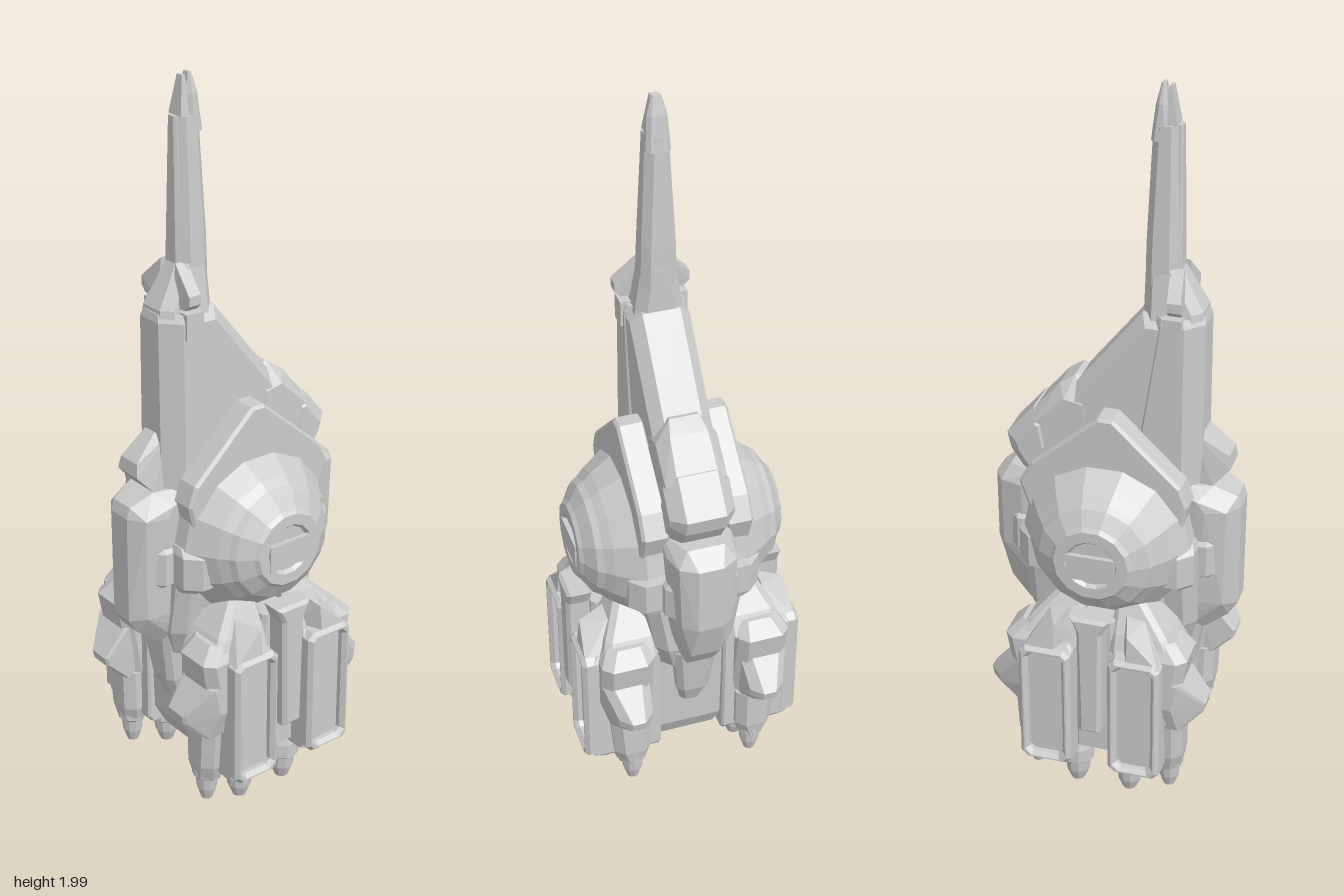
import * as THREE from 'three';
import { ConvexGeometry } from 'three/addons/geometries/ConvexGeometry.js';

const mat = new THREE.MeshStandardMaterial({ color: 0xcccccc, flatShading: true, side: THREE.DoubleSide });

function add(group, name, geometry, x = 0, y = 0, z = 0) {
  const m = new THREE.Mesh(geometry, mat);
  m.name = name;
  m.position.set(x, y, z);
  group.add(m);
  return m;
}

// Convex solid through given points
const hull = (pts) => new ConvexGeometry(pts.map((p) => new THREE.Vector3(...p)));

// Interval a..b, flipped to the negative side when s < 0
const span = (s, a, b) => (s > 0 ? [a, b] : [-b, -a]);

// Convex solid stacked from rectangles [y, x0, x1, z0, z1], with corners cut by c
function stack(levels, c = 0.015) {
  const pts = [];
  for (const [y, x0, x1, z0, z1] of levels) {
    const k = Math.min(c, (x1 - x0) / 3, (z1 - z0) / 3);
    for (const [x, s] of [[x0, 1], [x1, -1]]) {
      pts.push([x, y, z0 + k], [x, y, z1 - k], [x + s * k, y, z0], [x + s * k, y, z1]);
    }
  }
  return hull(pts);
}

// Side outline [z, y] given width along x, with chamfered edges
function slab(outline, width, bevel) {
  const shape = new THREE.Shape(outline.map(([z, y]) => new THREE.Vector2(z, y)));
  const g = new THREE.ExtrudeGeometry(shape, {
    depth: width - 2 * bevel, bevelThickness: bevel,
    bevelSize: bevel, bevelOffset: -bevel, bevelSegments: 1,
  });
  g.translate(0, 0, -(width - 2 * bevel) / 2);
  return g.rotateY(-Math.PI / 2);
}

function roundedRect(target, w, h, r) {
  const x = w / 2, y = h / 2;
  target.moveTo(-x + r, -y).lineTo(x - r, -y).lineTo(x, -y + r).lineTo(x, y - r)
    .lineTo(x - r, y).lineTo(-x + r, y).lineTo(-x, y - r).lineTo(-x, -y + r).closePath();
  return target;
}

function lathe(profile, sides) {
  return new THREE.LatheGeometry(profile.map(([r, y]) => new THREE.Vector2(r, y)), sides);
}

function addNozzle(group, x, z, tip, r, top) {
  add(group, 'nozzle', lathe([[0, 0], [r * 0.4, 0.006], [r * 0.68, 0.04], [r * 0.76, 0.075],
    [r, 0.085], [r, 0.125], [r * 0.85, 0.15], [r * 0.85, top - tip], [0, top - tip]], 10), x, tip, z);
}

function addEnginePod(group, s, f) {
  const pod = new THREE.Group();
  pod.name = 'enginePod';
  const z = f > 0 ? 0.12 : -0.125;
  add(pod, 'podBody', stack([[0.15, ...span(s, 0.09, 0.26), z - 0.06, z + 0.06],
    [0.165, ...span(s, 0.09, 0.285), z - 0.07, z + 0.07],
    [0.515, ...span(s, 0.09, 0.285), z - 0.07, z + 0.07],
    [0.53, ...span(s, 0.09, 0.27), z - 0.06, z + 0.06]], 0.006));

  // Rim around the recessed window on the outer side
  const frame = roundedRect(new THREE.Shape(), 0.136, 0.366, 0.016);
  frame.holes.push(roundedRect(new THREE.Path(), 0.1, 0.33, 0.014));
  const rim = new THREE.ExtrudeGeometry(frame, {
    depth: 0.03, bevelThickness: 0.012, bevelSize: 0.01, bevelOffset: -0.007, bevelSegments: 1 })
    .rotateY(s * Math.PI / 2);
  add(pod, 'podRim', rim, s * 0.268, 0.345, z);

  // Sloped hood over the pod, with a fin at its outer corner
  add(pod, 'podHood', stack([[0.52, ...span(s, 0.1, 0.26), ...span(f, 0.04, 0.22)],
    [0.57, ...span(s, 0.1, 0.24), ...span(f, 0.04, 0.19)],
    [0.66, ...span(s, 0.1, 0.19), ...span(f, 0.04, 0.11)]]));
  add(pod, 'hoodFin', hull([[s * 0.2, 0.52, f * 0.06], [s * 0.2, 0.52, f * 0.19], [s * 0.3, 0.52, f * 0.185],
    [s * 0.3, 0.52, f * 0.1], [s * 0.22, 0.62, f * 0.08], [s * 0.22, 0.61, f * 0.13], [s * 0.29, 0.6, f * 0.1]]));

  // Face of the pod: upper block, pointed knee and a leg reaching down to the outer nozzle
  add(pod, 'facePlate', stack([[0.3, ...span(s, 0.12, 0.25), ...span(f, 0.14, 0.215)],
    [0.44, ...span(s, 0.12, 0.265), ...span(f, 0.14, 0.235)],
    [0.52, ...span(s, 0.12, 0.265), ...span(f, 0.14, 0.25)],
    [0.56, ...span(s, 0.13, 0.24), ...span(f, 0.14, 0.21)]], 0.025));
  const [tip, outer] = f > 0 ? [0.295, 0.215] : [0.307, 0.235];
  add(pod, 'kneeWedge', stack([[0.29, ...span(s, 0.135, 0.24), ...span(f, 0.15, 0.235)],
    [0.345, ...span(s, 0.14, outer), ...span(f, 0.18, tip - 0.005)],
    [0.37, ...span(s, 0.14, outer), ...span(f, 0.18, tip)],
    [0.37, ...span(s, 0.13, 0.265), ...span(f, 0.14, 0.22)],
    [0.45, ...span(s, 0.13, 0.265), ...span(f, 0.15, 0.235)]], f > 0 ? 0.008 : 0.03));
  add(pod, 'leg', stack([[0.13, ...span(s, 0.14, 0.215), ...span(f, 0.15, 0.225)],
    [0.18, ...span(s, 0.125, 0.23), ...span(f, 0.15, 0.233)],
    [0.3, ...span(s, 0.125, 0.24), ...span(f, 0.15, 0.235)]], 0.025));
  addNozzle(pod, s * 0.17, f * 0.075, 0.007, 0.048, 0.2);
  addNozzle(pod, s * 0.175, f * 0.19, 0.05, 0.04, 0.2);
  group.add(pod);
}

export function createModel() {
  const model = new THREE.Group();
  model.name = 'tower';

  // Round central body, lying across x, with a hub on each end
  const half = [[0, 0.272], [0.062, 0.272], [0.07, 0.282], [0.1, 0.282], [0.11, 0.272], [0.15, 0.247],
    [0.16, 0.23], [0.18, 0.208], [0.205, 0.17], [0.228, 0.135], [0.23, 0]];
  for (const s of [-1, 1]) {
    add(model, 'roundBody', lathe(half, 14).rotateZ(-s * Math.PI / 2), 0, 0.8, 0);
    add(model, 'hubSlot', new THREE.BoxGeometry(0.02, 0.07, 0.13), s * 0.275, 0.79, 0);
  }

  // Lower core between the pods
  add(model, 'lowerCore', stack([[0.14, -0.12, 0.12, -0.14, 0.14], [0.2, -0.13, 0.13, -0.17, 0.17],
    [0.5, -0.13, 0.13, -0.18, 0.18], [0.66, -0.17, 0.17, -0.15, 0.15]], 0.04));
  add(model, 'waist', stack([[0.46, -0.09, 0.09, -0.21, 0.21], [0.54, -0.11, 0.11, -0.235, 0.235],
    [0.72, -0.14, 0.14, -0.235, 0.235]], 0.03));
  add(model, 'sideBlock', stack([[0.18, -0.24, 0.24, -0.06, 0.06], [0.6, -0.24, 0.24, -0.05, 0.05]], 0.01));
  for (const s of [-1, 1]) {
    add(model, 'sideRib', slab([[-0.03, 0.28], [0.03, 0.28], [0.035, 0.6], [0.055, 0.645],
      [-0.055, 0.645], [-0.035, 0.6]], 0.07, 0.01), s * 0.272, 0, 0);
  }

  // Front and back bands wrapped around the body: [y, half width, z]
  const bands = {
    frontBand: [[0.95, 0.08, 0.12], [0.95, 0.05, 0.265], [0.92, 0.095, 0.23], [0.92, 0.035, 0.325],
      [0.89, 0.095, 0.25], [0.89, 0.08, 0.305], [0.89, 0.035, 0.335], [0.6, 0.08, 0.23], [0.6, 0.07, 0.3],
      [0.59, 0.033, 0.335], [0.55, 0.075, 0.2], [0.55, 0.035, 0.31], [0.5, 0.06, 0.2], [0.5, 0.035, 0.25]],
    backBand: [[0.93, 0.09, -0.2], [0.93, 0.05, -0.29], [0.89, 0.095, -0.25], [0.89, 0.078, -0.31],
      [0.89, 0.033, -0.337], [0.69, 0.085, -0.25], [0.69, 0.07, -0.31], [0.69, 0.033, -0.337],
      [0.57, 0.075, -0.2], [0.57, 0.04, -0.3], [0.5, 0.06, -0.15], [0.5, 0.035, -0.25]],
  };
  for (const [name, rows] of Object.entries(bands)) {
    add(model, name, hull(rows.flatMap(([y, w, z]) => [[w, y, z], [-w, y, z]])));
  }
  for (const f of [-1, 1]) {
    add(model, 'bandKeel', stack([[0.3, -0.03, 0.03, ...span(f, 0.1, 0.19)],
      [0.36, -0.045, 0.045, ...span(f, 0.1, 0.215)], [0.52, -0.06, 0.06, ...span(f, 0.1, 0.24)]]));
    add(model, 'bandBuckle', stack([[0.67, -0.06, 0.06, ...span(f, 0.2, 0.29)], [0.7, -0.1, 0.1, ...span(f, 0.2, 0.29)],
      [0.79, -0.1, 0.1, ...span(f, 0.2, 0.29)], [0.82, -0.07, 0.07, ...span(f, 0.2, 0.29)]], 0.03));
    add(model, 'crossBar', stack([[0.68, -0.15, 0.15, ...span(f, 0.15, 0.23)], [0.7, -0.18, 0.18, ...span(f, 0.13, 0.238)],
      [0.79, -0.18, 0.18, ...span(f, 0.13, 0.238)], [0.81, -0.15, 0.15, ...span(f, 0.15, 0.23)]], 0.04));
  }

  // Tent-shaped shoulder ridges
  for (const s of [-1, 1]) {
    add(model, 'shoulderRidge', slab([[0.22, 0.93], [0.2, 0.985], [0.02, 1.155], [-0.02, 1.155],
      [-0.2, 1.0], [-0.235, 0.94], [-0.2, 0.84], [0.2, 0.84]], 0.075, 0.008), s * 0.113, 0, 0);
  }

  // Tower with its raked back
  add(model, 'towerShaft', stack([[0.85, -0.088, 0.088, 0.0, 0.23], [1.4, -0.083, 0.083, 0.08, 0.23],
    [1.42, -0.075, 0.075, 0.08, 0.225]], 0.045));
  add(model, 'towerFin', slab([[0.18, 0.9], [0.18, 1.42], [0.07, 1.42], [-0.09, 1.22], [-0.24, 1.03],
    [-0.24, 0.9]], 0.16, 0.03));
  add(model, 'spineUpper', hull([-1, 1].flatMap((s) => [[s * 0.035, 1.205, -0.07], [s * 0.04, 1.217, -0.11],
    [s * 0.05, 1.19, -0.15], [s * 0.055, 1.1, -0.227], [s * 0.082, 1.15, -0.08], [s * 0.082, 1.16, -0.13],
    [s * 0.082, 1.08, -0.215], [s * 0.082, 1.0, -0.19], [s * 0.082, 1.04, -0.06]])));
  add(model, 'spineLower', slab([[-0.17, 1.1], [-0.22, 1.115], [-0.297, 1.025], [-0.287, 0.98],
    [-0.235, 0.9], [-0.14, 0.92]], 0.175, 0.035));

  // Nub jutting from the foot of the tower
  add(model, 'frontNub', hull([-1, 1].flatMap((s) => [[s * 0.045, 0.93, 0.2], [s * 0.05, 0.95, 0.26],
    [s * 0.042, 1.0, 0.305], [s * 0.035, 1.035, 0.3], [s * 0.02, 1.1, 0.235], [s * 0.035, 1.09, 0.2]])));

  // Mast, tapering to a forked tip
  add(model, 'mastBase', stack([[1.38, -0.068, 0.068, 0.07, 0.225], [1.43, -0.06, 0.06, 0.07, 0.222],
    [1.54, -0.045, 0.045, 0.07, 0.16]], 0.025));
  add(model, 'mast', stack([[1.42, -0.05, 0.05, 0.07, 0.155], [1.6, -0.045, 0.045, 0.072, 0.155],
    [1.9, -0.03, 0.03, 0.083, 0.152]], 0.02));
  add(model, 'mastRidge', stack([[1.5, -0.028, 0.028, 0.12, 0.163], [1.9, -0.016, 0.016, 0.12, 0.157]], 0.006));
  add(model, 'tipRear', stack([[1.86, -0.032, 0.032, 0.08, 0.125], [1.95, -0.026, 0.026, 0.09, 0.12],
    [2.0, -0.012, 0.012, 0.102, 0.112]], 0.01));
  add(model, 'tipFront', hull([-1, 1].flatMap((s) => [[s * 0.025, 1.88, 0.1], [s * 0.025, 1.9, 0.145],
    [s * 0.018, 1.93, 0.13], [s * 0.01, 1.995, 0.13], [s * 0.01, 1.995, 0.122]])));
  for (const s of [-1, 1]) {
    add(model, 'mastEar', hull([0.145, 0.18].flatMap((z) => [[s * 0.03, 1.54, z - 0.01], [s * 0.1, 1.475, z],
      [s * 0.1, 1.45, z], [s * 0.085, 1.435, z], [s * 0.03, 1.43, z]])));
    add(model, 'earBracket', new THREE.BoxGeometry(0.03, 0.07, 0.05), s * 0.075, 1.39, 0.155);
  }

  // Four engine pods with nozzles
  for (const s of [-1, 1]) for (const f of [-1, 1]) addEnginePod(model, s, f);
  return model;
}
